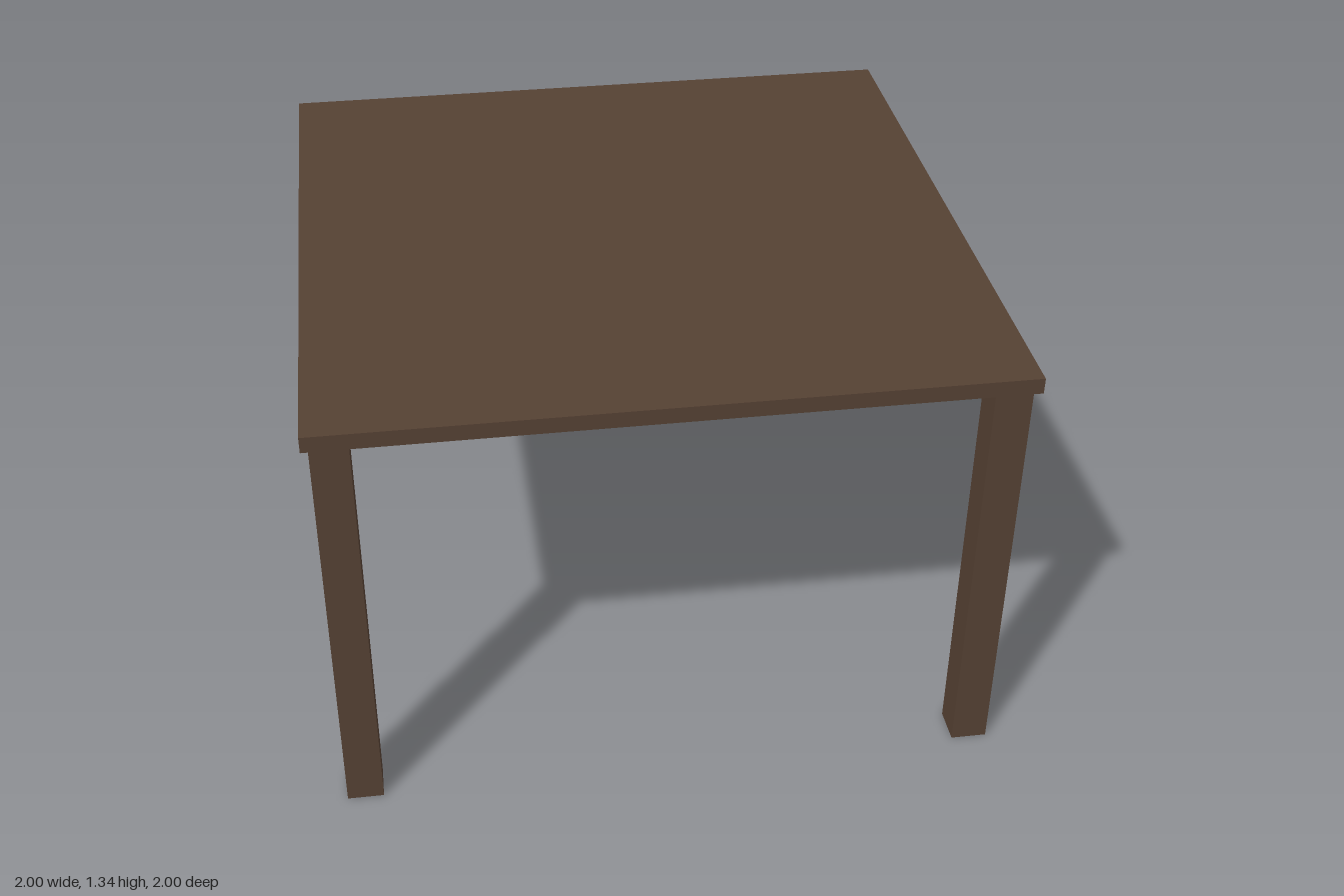
import * as THREE from 'three';

const HEIGHT = 1.335;
const TOP_THICKNESS = 0.048;
const LEG_WIDTH = 0.107;
const LEG_OFFSET = 0.927;

export function createModel() {
  const table = new THREE.Group();
  table.name = 'table';

  const darkWood = new THREE.MeshStandardMaterial({ color: 0x554133 });
  darkWood.name = 'dark wood';

  function addBox(name, size, position) {
    const mesh = new THREE.Mesh(new THREE.BoxGeometry(...size), darkWood);
    mesh.name = name;
    mesh.position.set(...position);
    table.add(mesh);
  }

  // Square tabletop
  addBox('tabletop', [2, TOP_THICKNESS, 2], [0, HEIGHT - TOP_THICKNESS / 2, 0]);

  // Four square legs, set in slightly from the corners
  const legHeight = HEIGHT - TOP_THICKNESS;
  for (const [side, sx] of [['Left', 1], ['Right', -1]]) {
    for (const [end, sz] of [['front', 1], ['back', -1]]) {
      addBox(`${end}${side}Leg`, [LEG_WIDTH, legHeight, LEG_WIDTH],
        [sx * LEG_OFFSET, legHeight / 2, sz * LEG_OFFSET]);
    }
  }

  return table;
}
